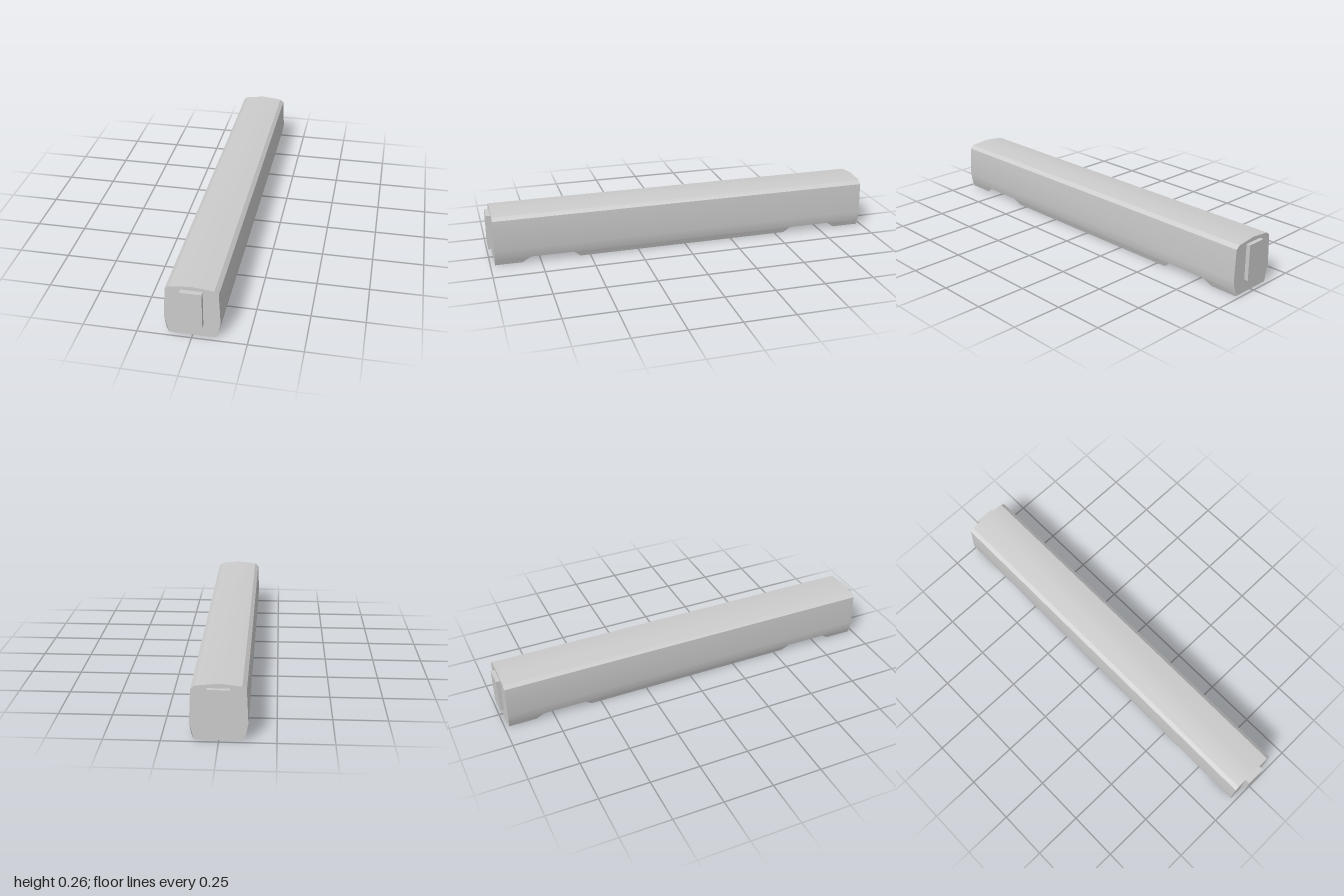
import * as THREE from 'three';
import { toCreasedNormals } from 'three/addons/utils/BufferGeometryUtils.js';

const FRONT = 0.977, BACK = -0.98;

const material = new THREE.MeshStandardMaterial({ color: 0xcccccc, side: THREE.DoubleSide });

// Right half of the cross-section, from the sill up to the roof ridge
const half = [[0.107, 0], [0.118, 0.03], [0.127, 0.08], [0.12, 0.235], [0.101, 0.251], [0, 0.262]];
const section = [...half, ...half.slice(0, -1).reverse().map(([x, y]) => [-x, y])];

// Sill spans along z, interrupted by a sloped cutout over each bogie
const full = [[BACK, FRONT]];
const sillBottom = [[BACK, -0.84], [-0.55, 0.55], [0.84, FRONT]];
const sillTop = [[BACK, -0.8], [-0.585, 0.585], [0.8, FRONT]];

function shellGeometry() {
  const pos = [];
  for (let i = 0; i < section.length - 1; i++) {
    const a = section[i], b = section[i + 1];
    const low = a[1] < 0.01, lowEnd = b[1] < 0.01;
    const spansA = low ? sillBottom : lowEnd ? sillTop : full;
    const spansB = low ? sillTop : lowEnd ? sillBottom : full;
    spansA.forEach(([a0, a1], k) => {
      const [b0, b1] = spansB[k];
      pos.push(...a, a0, ...b, b0, ...b, b1, ...a, a0, ...b, b1, ...a, a1);
    });
  }
  const g = new THREE.BufferGeometry();
  g.setAttribute('position', new THREE.Float32BufferAttribute(pos, 3));
  return toCreasedNormals(g, 0.45);
}

export function createModel() {
  const model = new THREE.Group();
  model.name = 'railCarriage';
  const add = (name, geometry, x = 0, y = 0, z = 0) => {
    const mesh = new THREE.Mesh(geometry, material);
    mesh.name = name;
    mesh.position.set(x, y, z);
    model.add(mesh);
    return mesh;
  };

  // Side walls and roof, open underneath
  add('bodyShell', shellGeometry());

  // End walls, with a straight taper from waist to sill
  const outline = section.filter(([, y]) => y !== 0.03).map(([x, y]) => new THREE.Vector2(x, y));
  const endWall = new THREE.ShapeGeometry(new THREE.Shape(outline));
  add('frontWall', endWall, 0, 0, FRONT);
  add('backWall', endWall, 0, 0, BACK).rotation.y = Math.PI;

  // Gangway connections
  for (const [name, wall, end] of [['frontGangway', FRONT, 1], ['backGangway', BACK, -1]]) {
    const depth = Math.abs(end - wall);
    add(name, new THREE.BoxGeometry(0.099, 0.177, depth), 0, 0.1525, (wall + end) / 2);
  }

  // Thin bogie side plates behind the cutouts
  const plate = new THREE.PlaneGeometry(0.285, 0.042);
  for (const z of [-0.695, 0.695])
    for (const side of [-1, 1])
      add('bogiePlate', plate, side * 0.054, 0.037, z).rotation.y = side * Math.PI / 2;

  return model;
}
